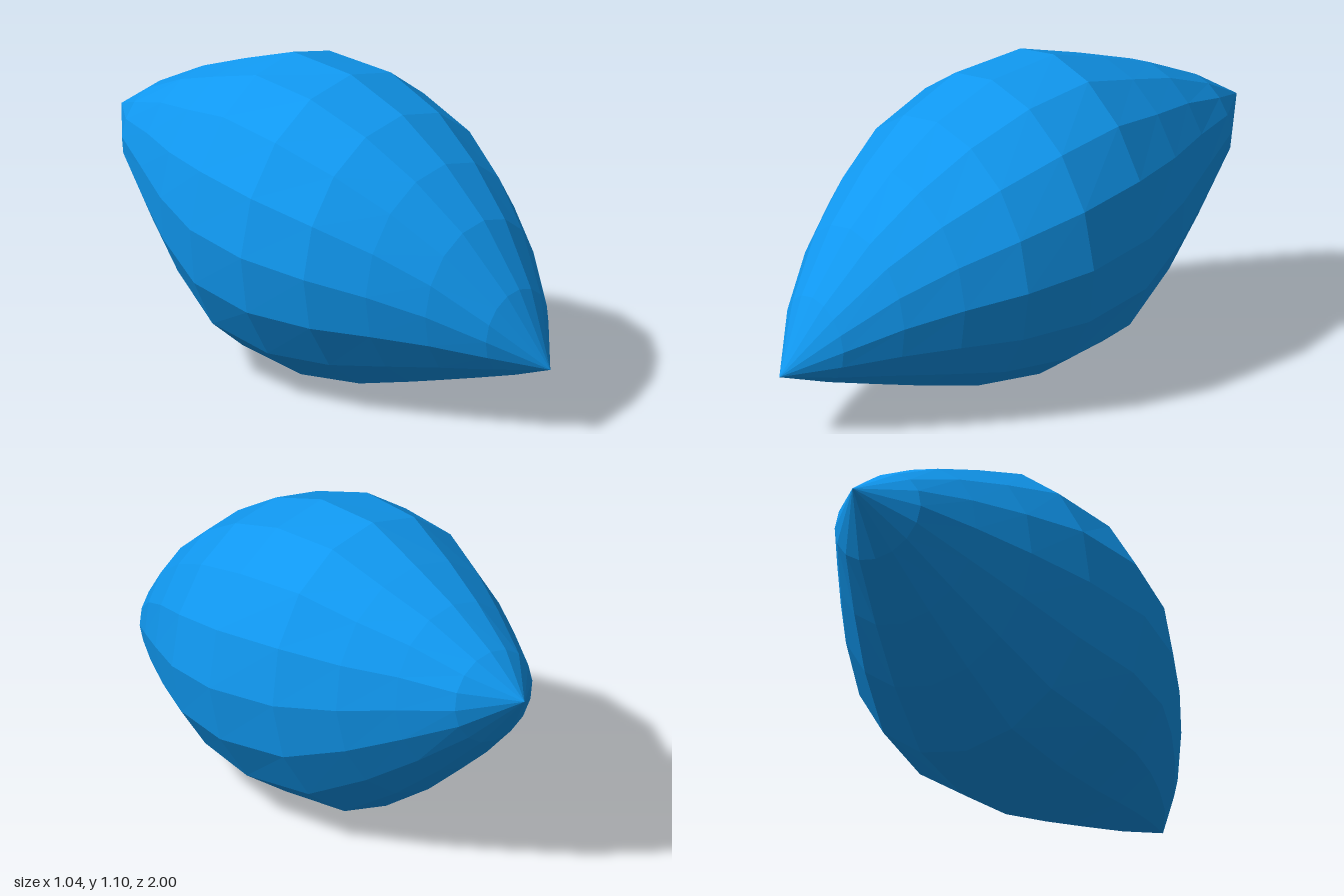
import * as THREE from 'three';

const SIDES = 16;

// Cross-sections from the front tip to the back tip:
// [centre z, centre y, half width, half height, forward lean of the ring's top]
const RINGS = [
  [1.0, 0.235, 0, 0, 0],
  [0.845, 0.335, 0.155, 0.155, 0.01],
  [0.675, 0.415, 0.275, 0.285, 0.015],
  [0.495, 0.47, 0.38, 0.39, 0.015],
  [0.295, 0.51, 0.475, 0.48, 0.015],
  [0.045, 0.542, 0.52, 0.538, 0.025],
  [-0.235, 0.57, 0.475, 0.53, 0.035],
  [-0.46, 0.611, 0.382, 0.415, 0.035],
  [-0.65, 0.655, 0.278, 0.3, 0.03],
  [-0.837, 0.692, 0.172, 0.163, 0.015],
  [-1.0, 0.735, 0, 0, 0],
];

// Sphere topology with its poles on z, each row moved onto its cross-section
function createBodyGeometry() {
  const sphere = new THREE.SphereGeometry(1, SIDES, RINGS.length - 1);
  const pos = sphere.attributes.position;
  for (let i = 0; i < pos.count; i++) {
    const row = Math.floor(i / (SIDES + 1));
    const angle = ((i % (SIDES + 1)) / SIDES) * Math.PI * 2;
    const [z, y, halfWidth, halfHeight, lean] = RINGS[row];
    const up = -Math.sin(angle);
    pos.setXYZ(i, -Math.cos(angle) * halfWidth, y + up * halfHeight, z + up * lean);
  }
  const faceted = sphere.toNonIndexed();
  faceted.computeVertexNormals();
  return faceted;
}

export function createModel() {
  const group = new THREE.Group();
  group.name = 'pointedPod';

  // Faceted body tapering to a point at both ends
  const material = new THREE.MeshStandardMaterial({ color: 0x1098f0, flatShading: true });
  const body = new THREE.Mesh(createBodyGeometry(), material);
  body.name = 'body';
  group.add(body);

  return group;
}
